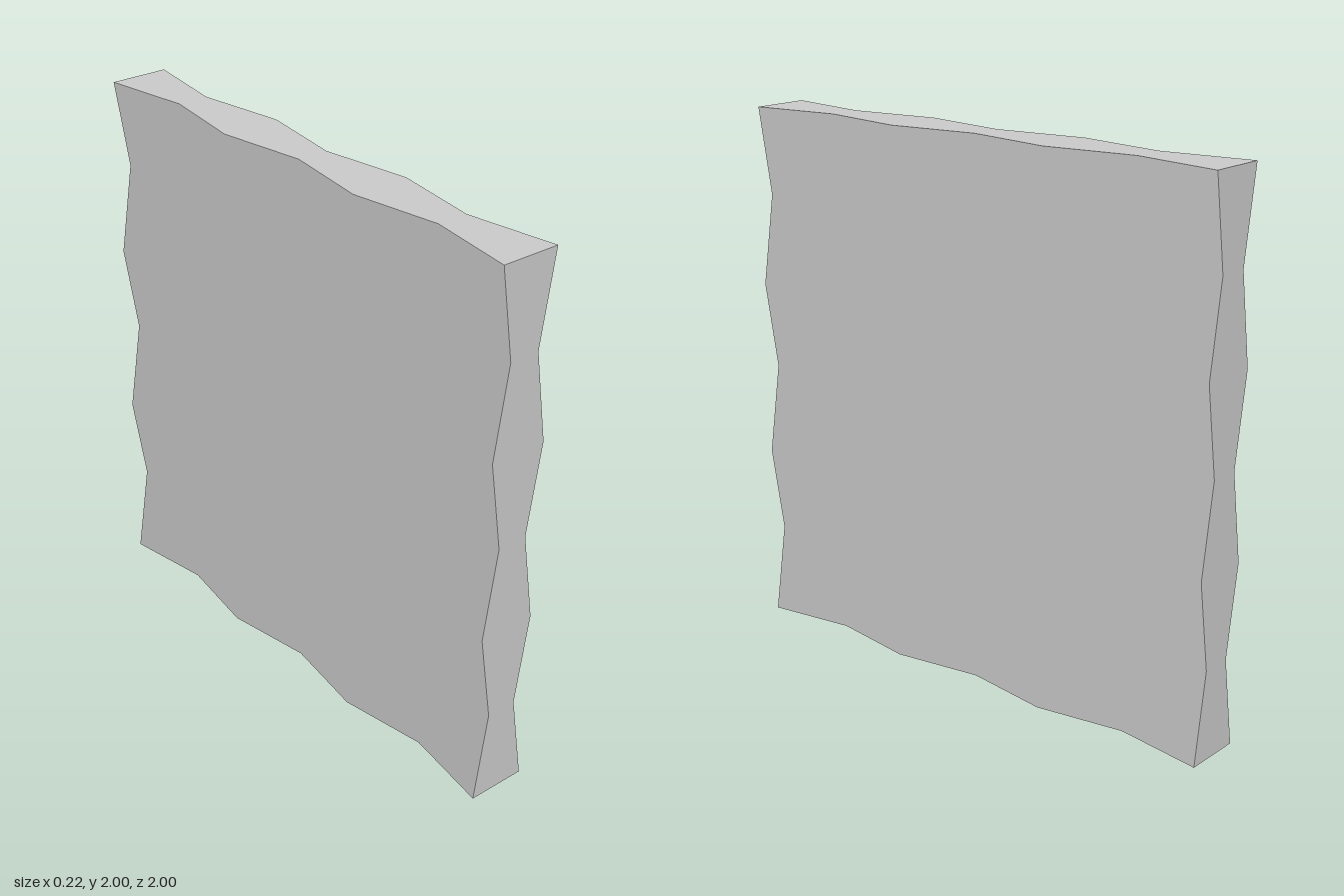
import * as THREE from 'three';

const SIZE = 2;
const CELLS = 6;
const HIGH = 0.11; // half thickness at the raised points
const LOW = 0.058; // half thickness at the sunken points

export function createModel() {
  const group = new THREE.Group();
  group.name = 'wallPanel';

  // Slab whose two broad faces rise and sink in a checkerboard of points;
  // the box normals are kept so each face shades evenly.
  const geometry = new THREE.BoxGeometry(2 * HIGH, SIZE, SIZE, 1, CELLS, CELLS);
  const pos = geometry.attributes.position;
  const step = SIZE / CELLS;
  for (let i = 0; i < pos.count; i++) {
    const row = Math.round((pos.getY(i) + SIZE / 2) / step);
    const column = Math.round((pos.getZ(i) + SIZE / 2) / step);
    const half = (row + column) % 2 === 0 ? HIGH : LOW;
    pos.setX(i, Math.sign(pos.getX(i)) * half);
  }
  geometry.translate(0, SIZE / 2, 0);

  const panel = new THREE.Mesh(geometry, new THREE.MeshStandardMaterial({ color: 0xcccccc }));
  panel.name = 'panel';
  group.add(panel);
  return group;
}
